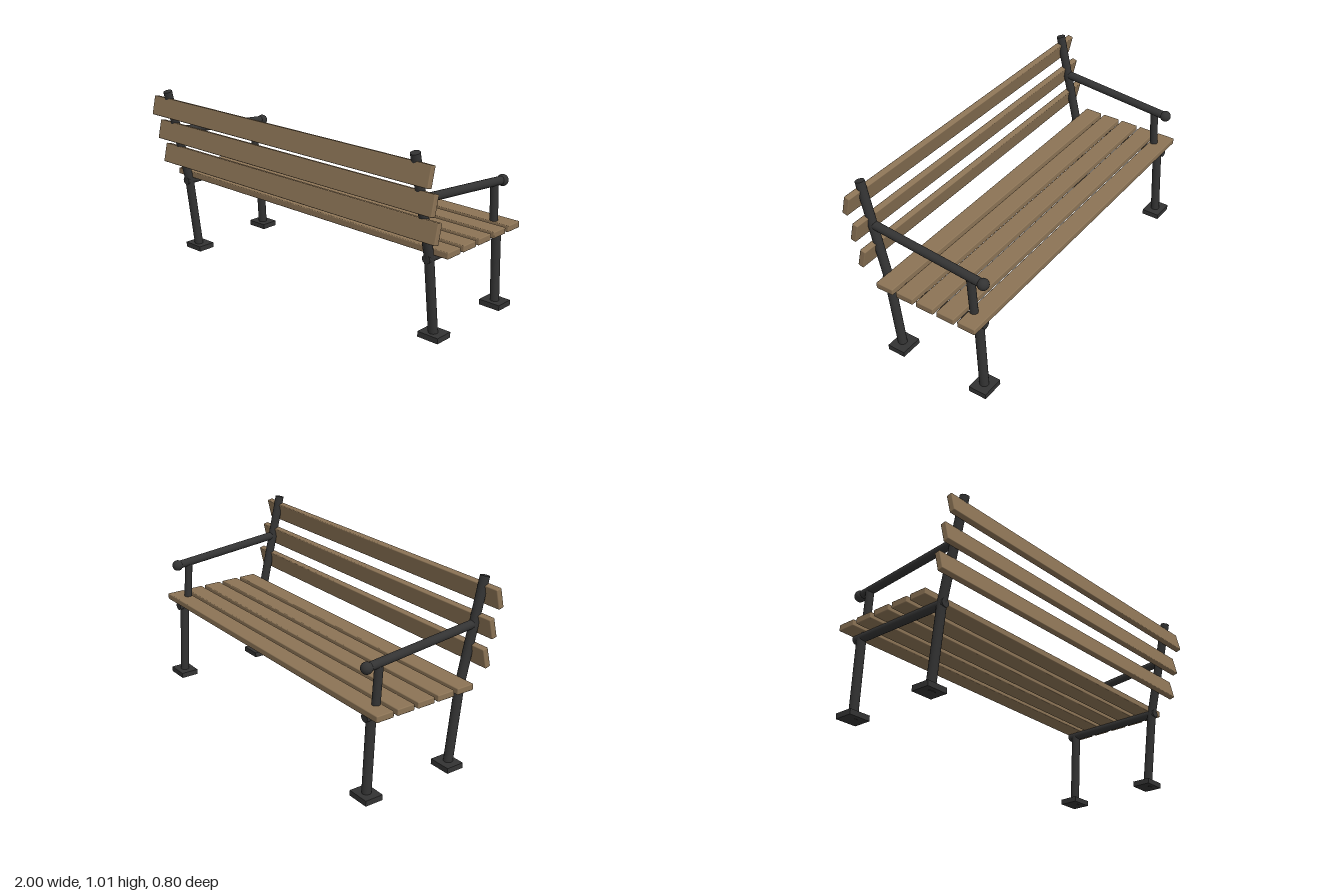
import * as THREE from 'three';
import { RoundedBoxGeometry } from 'three/addons/geometries/RoundedBoxGeometry.js';

export function createModel() {
  const bench = new THREE.Group();
  bench.name = 'parkBench';

  const wood = new THREE.MeshStandardMaterial({ color: 0x8b7355 });
  wood.name = 'brown wood';
  const iron = new THREE.MeshStandardMaterial({ color: 0x333333 });
  iron.name = 'dark iron';

  const add = (parent, name, geometry, material) => {
    const mesh = new THREE.Mesh(geometry, material);
    mesh.name = name;
    parent.add(mesh);
    return mesh;
  };

  // Round bar between two [y, z] points in the side plane
  const bar = (parent, name, [y0, z0], [y1, z1], radius) => {
    const a = new THREE.Vector3(0, y0, z0);
    const b = new THREE.Vector3(0, y1, z1);
    const mesh = add(parent, name, new THREE.CylinderGeometry(radius, radius, a.distanceTo(b), 16), iron);
    mesh.position.copy(a).add(b).multiplyScalar(0.5);
    mesh.quaternion.setFromUnitVectors(new THREE.Vector3(0, 1, 0), b.sub(a).normalize());
  };

  // Iron side frames
  for (const side of [1, -1]) {
    const frame = new THREE.Group();
    frame.name = side > 0 ? 'leftFrame' : 'rightFrame';
    frame.position.x = side * 0.895;
    bench.add(frame);

    bar(frame, 'backLeg', [0.005, 0.182], [0.45, 0.237], 0.025);
    bar(frame, 'backUpright', [0.44, 0.235], [1.004, 0.367], 0.025);
    bar(frame, 'frontLeg', [0.005, -0.349], [0.447, -0.328], 0.025);
    bar(frame, 'seatRail', [0.447, 0.262], [0.447, -0.37], 0.024);
    bar(frame, 'armPost', [0.447, -0.304], [0.697, -0.288], 0.022);
    bar(frame, 'armrest', [0.764, 0.305], [0.702, -0.361], 0.023);

    const knob = add(frame, 'armrestKnob', new THREE.SphereGeometry(0.031, 20, 14), iron);
    knob.position.set(0, 0.701, -0.361);

    for (const z of [0.178, -0.349]) {
      const foot = add(frame, 'footPlate', new THREE.BoxGeometry(0.126, 0.03, 0.104), iron);
      foot.position.set(0, 0.02, z);
    }
  }

  // Seat slats
  for (let i = 0; i < 5; i++) {
    const slat = add(bench, 'seatSlat', new RoundedBoxGeometry(2, 0.035, 0.104, 2, 0.005), wood);
    slat.position.set(0, 0.481, 0.177 - i * 0.1262);
  }

  // Tilted backrest slats
  for (const [y, z] of [[0.614, 0.309], [0.762, 0.341], [0.91, 0.375]]) {
    const slat = add(bench, 'backSlat', new RoundedBoxGeometry(2, 0.11, 0.033, 2, 0.005), wood);
    slat.position.set(0, y, z);
    slat.rotation.x = -0.233;
  }

  return bench;
}
